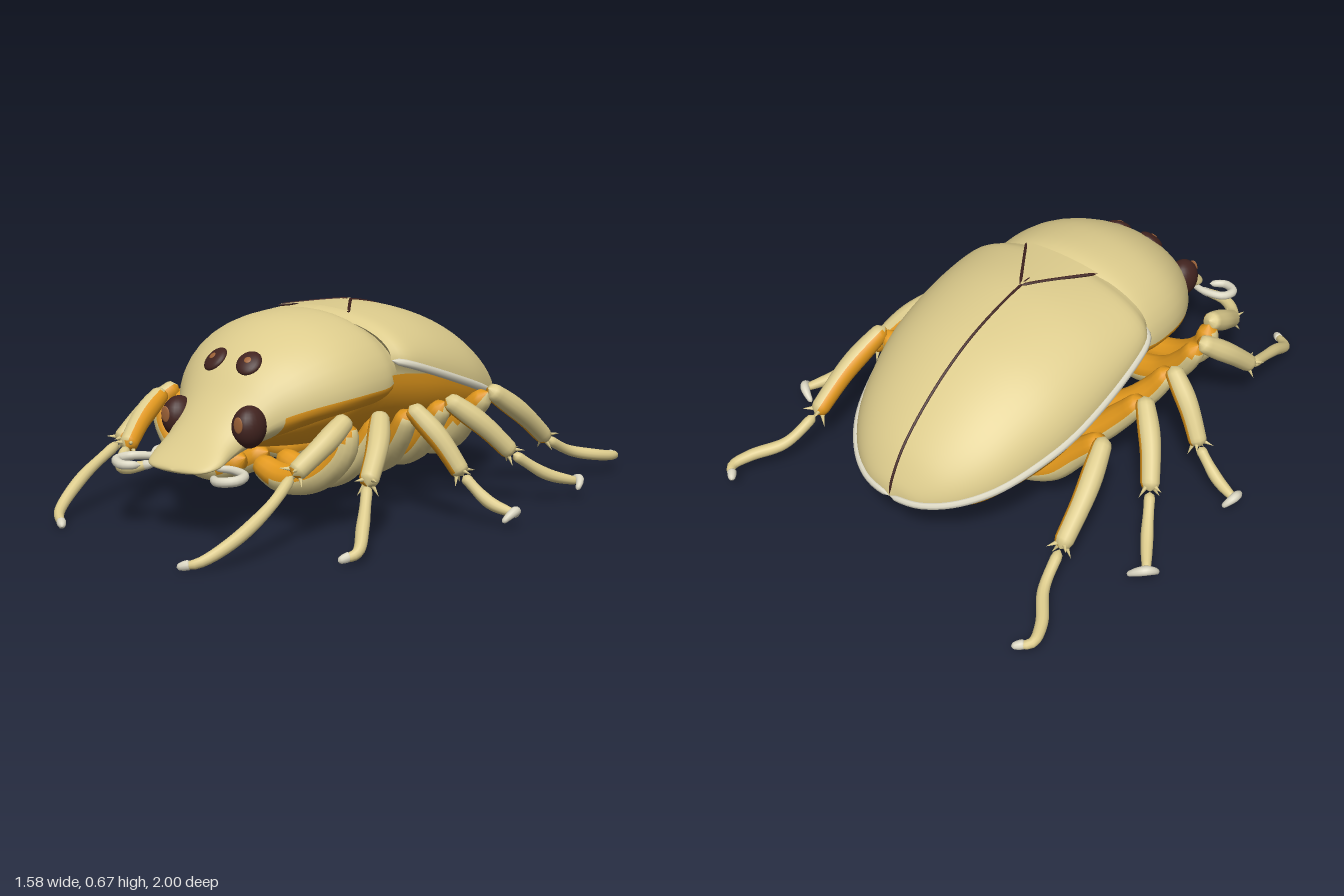
import * as THREE from 'three';

const V = (x, y, z) => new THREE.Vector3(x, y, z);
const mat = (name, color) => {
  const m = new THREE.MeshStandardMaterial({ color, side: THREE.DoubleSide });
  m.name = name;
  return m;
};

export function createModel() {
  const cream = mat('cream', 0xdccb8c);
  const orange = mat('orange', 0xe2981c);
  const ivory = mat('ivory', 0xdad6c2);
  const brown = mat('dark brown', 0x41231f);
  const amber = mat('amber', 0x9c6136);
  const model = new THREE.Group();
  model.name = 'beetle';

  // Smooth interpolation through rows of numbers, t from 0 to 1
  const profile = (rows) => {
    const spline = new THREE.CubicInterpolant(rows.map((_, i) => i), rows.flat(), rows[0].length);
    return (t) => [...spline.evaluate(t * (rows.length - 1))];
  };

  // Grid surface; isSecond(centre, normal, u, v) chooses the second material for a face
  function surface(name, nu, nv, point, closed, mats, isSecond = () => false, parent = model) {
    const cols = closed ? nv : nv + 1, pts = [], idx = [[], []];
    for (let i = 0; i <= nu; i++) for (let j = 0; j < cols; j++) pts.push(point(i / nu, j / nv));
    for (let i = 0; i < nu; i++) for (let j = 0; j < nv; j++) {
      const k = (j + 1) % cols;
      const a = i * cols + j, b = i * cols + k, c = a + cols, d = b + cols;
      const centre = V(0, 0, 0).add(pts[a]).add(pts[b]).add(pts[c]).add(pts[d]).multiplyScalar(0.25);
      const normal = pts[d].clone().sub(pts[a]).cross(pts[c].clone().sub(pts[b])).normalize();
      idx[isSecond(centre, normal, (i + 0.5) / nu, (j + 0.5) / nv) ? 1 : 0].push(a, b, c, b, d, c);
    }
    const g = new THREE.BufferGeometry().setFromPoints(pts);
    g.setIndex([...idx[0], ...idx[1]]);
    g.addGroup(0, idx[0].length, 0);
    if (idx[1].length) g.addGroup(idx[0].length, idx[1].length, 1);
    g.computeVertexNormals();
    const mesh = new THREE.Mesh(g, idx[1].length ? mats : mats[0]);
    mesh.name = name;
    parent.add(mesh);
    return mesh;
  }

  // Round-ended tube whose radius follows a list of values
  function limb(name, path, radii, mats, isSecond, parent = model, nu = 24, nv = 12) {
    const curve = new THREE.CatmullRomCurve3(path);
    const { normals, binormals } = curve.computeFrenetFrames(nu);
    const radius = profile(radii.map((r) => [r]));
    const point = (u, v) => {
      const i = Math.round(u * nu), a = v * Math.PI * 2;
      const r = i === 0 || i === nu ? 0 : radius(u)[0] * (i === 1 || i === nu - 1 ? 0.85 : 1);
      return curve.getPointAt(u)
        .addScaledVector(normals[i], r * Math.cos(a))
        .addScaledVector(binormals[i], r * Math.sin(a));
    };
    return surface(name, nu, nv, point, true, mats, isSecond, parent);
  }

  function ball(name, r, scale, pos, m, normal) {
    const mesh = new THREE.Mesh(new THREE.SphereGeometry(r, 24, 16), m);
    mesh.name = name;
    mesh.scale.set(...scale);
    mesh.position.copy(pos);
    if (normal) mesh.quaternion.setFromUnitVectors(V(0, 0, 1), normal.clone().normalize());
    model.add(mesh);
  }

  // Wing cases: rows of z, half width, crown height; the rim slopes down to the back
  const wing = profile([[0.05, 0.34, 0.65], [-0.02, 0.385, 0.67], [-0.2, 0.4, 0.67], [-0.4, 0.39, 0.625],
    [-0.55, 0.352, 0.56], [-0.68, 0.295, 0.475], [-0.78, 0.21, 0.385], [-0.84, 0.11, 0.295], [-0.86, 0, 0.235]]);
  const rimY = (z) => 0.504 + 0.317 * z;
  const wingPoint = (u, a) => {
    const [z, w, c] = wing(u), e = Math.min(rimY(z), c);
    return V(w * Math.sin(a), e + (c - e) * Math.cos(a), z);
  };
  for (const s of [-1, 1]) {
    const side = s > 0 ? 'left' : 'right';
    const from = s > 0 ? 0 : -Math.PI / 2;
    surface(side + 'WingCase', 40, 16, (u, v) => wingPoint(u, from + v * Math.PI / 2), false, [cream]);
    const rim = [];
    for (let i = 0; i <= 24; i++) rim.push(wingPoint(i / 24, s * Math.PI / 2));
    limb(side + 'WingRim', rim, [0.013, 0.014, 0.012], [ivory], undefined, model, 48, 8);
  }
  const seam = [];
  for (let i = 6; i <= 30; i++) seam.push(wingPoint(i / 30, 0));
  limb('wingSeam', seam, [0.005, 0.005], [brown], undefined, model, 40, 6);

  // Triangular plate between the wing cases
  const platePoint = (u, x, lift) => {
    const z = 0.03 - 0.22 * u, e = rimY(z), c = 0.668;
    return V(x, e + (c - e) * Math.sqrt(1 - (x / 0.39) ** 2) + lift, z);
  };
  surface('scutellum', 12, 12, (u, v) => platePoint(u, 0.15 * (1 - u) * (2 * v - 1), 0.009), false, [cream]);
  for (const s of [-1, 1]) {
    const edge = [0, 0.25, 0.5, 0.75, 1].map((u) => platePoint(u, s * 0.15 * (1 - u), 0.006));
    limb('scutellumEdge', edge, [0.006, 0.006], [brown], undefined, model, 16, 6);
  }

  // Fore shield flowing into the head: z, half width, crown, side height, underside
  const shield = profile([[0, 0.33, 0.64, 0.45, 0.36], [0.08, 0.355, 0.672, 0.435, 0.33], [0.2, 0.355, 0.668, 0.43, 0.32],
    [0.3, 0.33, 0.643, 0.42, 0.31], [0.4, 0.275, 0.592, 0.4, 0.29], [0.48, 0.212, 0.525, 0.37, 0.27],
    [0.55, 0.165, 0.44, 0.325, 0.25], [0.62, 0.142, 0.365, 0.28, 0.235], [0.69, 0.142, 0.295, 0.25, 0.225],
    [0.74, 0.105, 0.252, 0.235, 0.222], [0.755, 0, 0.235, 0.232, 0.23]]);
  surface('shieldAndHead', 48, 40, (u, v) => {
    const [z, w, top, side, under] = shield(u), a = v * Math.PI * 2, h = Math.sin(a);
    return V(w * Math.cos(a), side + (h > 0 ? top - side : side - under) * h, z);
  }, true, [cream, orange], (c, n, u, v) => v > 0.5 && c.z < 0.47);

  // Underbody: z, half width, side height, lowest point
  const belly = profile([[0.52, 0.06, 0.34, 0.28], [0.4, 0.23, 0.39, 0.25], [0.25, 0.31, 0.42, 0.23],
    [0.05, 0.345, 0.47, 0.21], [-0.2, 0.385, 0.44, 0.17], [-0.42, 0.375, 0.37, 0.15],
    [-0.6, 0.325, 0.315, 0.155], [-0.75, 0.235, 0.265, 0.18], [-0.85, 0, 0.235, 0.225]]);
  surface('underbody', 40, 28, (u, v) => {
    const [z, w, side, low] = belly(u), a = v * Math.PI;
    return V(w * Math.cos(a), side - (side - low) * Math.sin(a), z);
  }, false, [orange, cream], (c, n, u, v) => c.z < -0.42 && Math.sin(v * Math.PI) > 0.45);

  // Eyes, brow spots and curled feelers
  for (const s of [-1, 1]) {
    ball('eye', 0.065, [0.8, 1.05, 0.95], V(s * 0.147, 0.355, 0.553), brown);
    ball('eyeGlint', 0.022, [0.8, 1.2, 0.2], V(s * 0.152, 0.37, 0.613), amber);
    const n = V(s * 0.2, 0.72, 0.65).normalize(), p = V(s * 0.07, 0.537, 0.457);
    ball('browSpot', 0.045, [0.95, 1.05, 0.4], p, brown, n);
    ball('browGlint', 0.012, [1, 1, 0.2], p.clone().addScaledVector(n, 0.018), amber, n);
    const feeler = [[0.11, 0.24, 0.68], [0.17, 0.24, 0.665], [0.24, 0.235, 0.69], [0.25, 0.23, 0.74],
      [0.2, 0.225, 0.768], [0.15, 0.225, 0.735]].map(([x, y, z]) => V(s * x, y, z));
    limb('feeler', feeler, [0.011, 0.014, 0.016, 0.013], [ivory]);
  }

  // Legs: hip z, knee, then the foot path starting at the ankle
  const rear = { hip: -0.42, knee: [0.47, 0.37, -0.35],
    foot: [[0.53, 0.16, -0.66], [0.56, 0.1, -0.78], [0.63, 0.075, -0.88], [0.65, 0.065, -0.95], [0.615, 0.06, -0.985]] };
  const thirdLeg = { hip: -0.2, knee: [0.45, 0.37, -0.11], claw: [0.036, 0.034],
    foot: [[0.61, 0.18, -0.29], [0.68, 0.1, -0.4], [0.75, 0.065, -0.5]] };
  const middle = { hip: -0.04, knee: [0.43, 0.37, 0.075], claw: [0.004, 0.045],
    foot: [[0.6, 0.16, 0.01], [0.69, 0.08, -0.01], [0.775, 0.05, -0.03]] };
  const second = { hip: 0.25, knee: [0.43, 0.37, 0.24],
    foot: [[0.53, 0.2, 0.45], [0.585, 0.1, 0.55], [0.615, 0.04, 0.62], [0.59, 0.025, 0.66]] };
  const front = { hip: 0.37, knee: [0.39, 0.37, 0.36],
    foot: [[0.34, 0.23, 0.58], [0.35, 0.16, 0.7], [0.33, 0.08, 0.85], [0.285, 0.03, 0.955], [0.24, 0.018, 0.985]] };
  const secondRight = { ...second, foot: [[0.52, 0.2, 0.45], [0.49, 0.12, 0.66], [0.455, 0.04, 0.8], [0.385, 0.018, 0.86]] };
  const frontRight = { ...front, foot: [[0.34, 0.23, 0.6], [0.3, 0.2, 0.67], [0.23, 0.2, 0.715], [0.15, 0.22, 0.69]] };

  function leg(name, s, { hip, knee, foot, claw }) {
    const group = new THREE.Group();
    group.name = name;
    model.add(group);
    const at = ([x, y, z]) => V(s * x, y, z);
    const [kx, ky, kz] = knee, k = at(knee), ankle = at(foot[0]);
    const mid = (t) => hip + (kz - hip) * t;
    const under = V(s * 0.5, -0.85, 0), outer = V(s * 0.85, 0.5, 0);
    limb('thigh', [at([0.02, 0.2, hip]), at([0.14, 0.155, hip]), at([0.28, 0.185, mid(0.4)]),
      at([0.375, 0.275, mid(0.8)]), at([kx, ky, kz])], [0.035, 0.05, 0.052, 0.046, 0.034],
    [cream, orange], (c, n) => n.dot(under) < 0.1, group);
    const shinMid = k.clone().lerp(ankle, 0.5).add(V(s * 0.012, 0.012, 0));
    limb('shin', [k.clone().add(V(0, 0.012, 0)), shinMid, ankle], [0.03, 0.037, 0.034, 0.031],
      [cream, orange], (c, n) => n.dot(outer) < -0.2, group);

    // Spurs around the ankle
    const dir = ankle.clone().sub(k).normalize();
    const sideA = dir.clone().cross(V(0, 1, 0)).normalize(), sideB = sideA.clone().cross(dir);
    for (let i = 0; i < 4; i++) {
      const a = Math.PI * (0.25 + i / 2);
      const out = sideA.clone().multiplyScalar(Math.cos(a)).addScaledVector(sideB, Math.sin(a));
      const spur = new THREE.Mesh(new THREE.ConeGeometry(0.01, 0.05, 8), cream);
      spur.name = 'spur';
      spur.position.copy(ankle).addScaledVector(out, 0.03).addScaledVector(dir, -0.005);
      spur.quaternion.setFromUnitVectors(V(0, 1, 0), out.clone().addScaledVector(dir, 0.9).normalize());
      group.add(spur);
    }
    limb('foot', foot.map(at), [0.019, 0.018, 0.021, 0.019, 0.013], [cream], undefined, group);

    // Claw: a small crossbar hooked back, or a curved tip
    const tip = at(foot[foot.length - 1]);
    if (claw) {
      const [cx, cz] = claw;
      limb('claw', [-1, -0.6, 0, 0.6, 1].map((q) => tip.clone().add(
        V(s * (cx * q - 0.02 * q * q), -0.03 * q * q + 0.01, cz * q + 0.008 * q * q))),
      [0.008, 0.016, 0.008], [ivory], undefined, group);
    } else {
      const prev = at(foot[foot.length - 2]), step = tip.clone().sub(prev).normalize();
      limb('claw', [tip.clone().addScaledVector(step, -0.03), tip, tip.clone().addScaledVector(step, 0.015)],
        [0.016, 0.015, 0.009], [ivory], undefined, group, 10, 10);
    }
  }
  const pairs = [['rear', rear, rear], ['third', thirdLeg, thirdLeg], ['middle', middle, middle],
    ['second', second, secondRight], ['front', front, frontRight]];
  for (const [name, left, right] of pairs) {
    leg(name + 'LegLeft', 1, left);
    leg(name + 'LegRight', -1, right);
  }
  return model;
}
